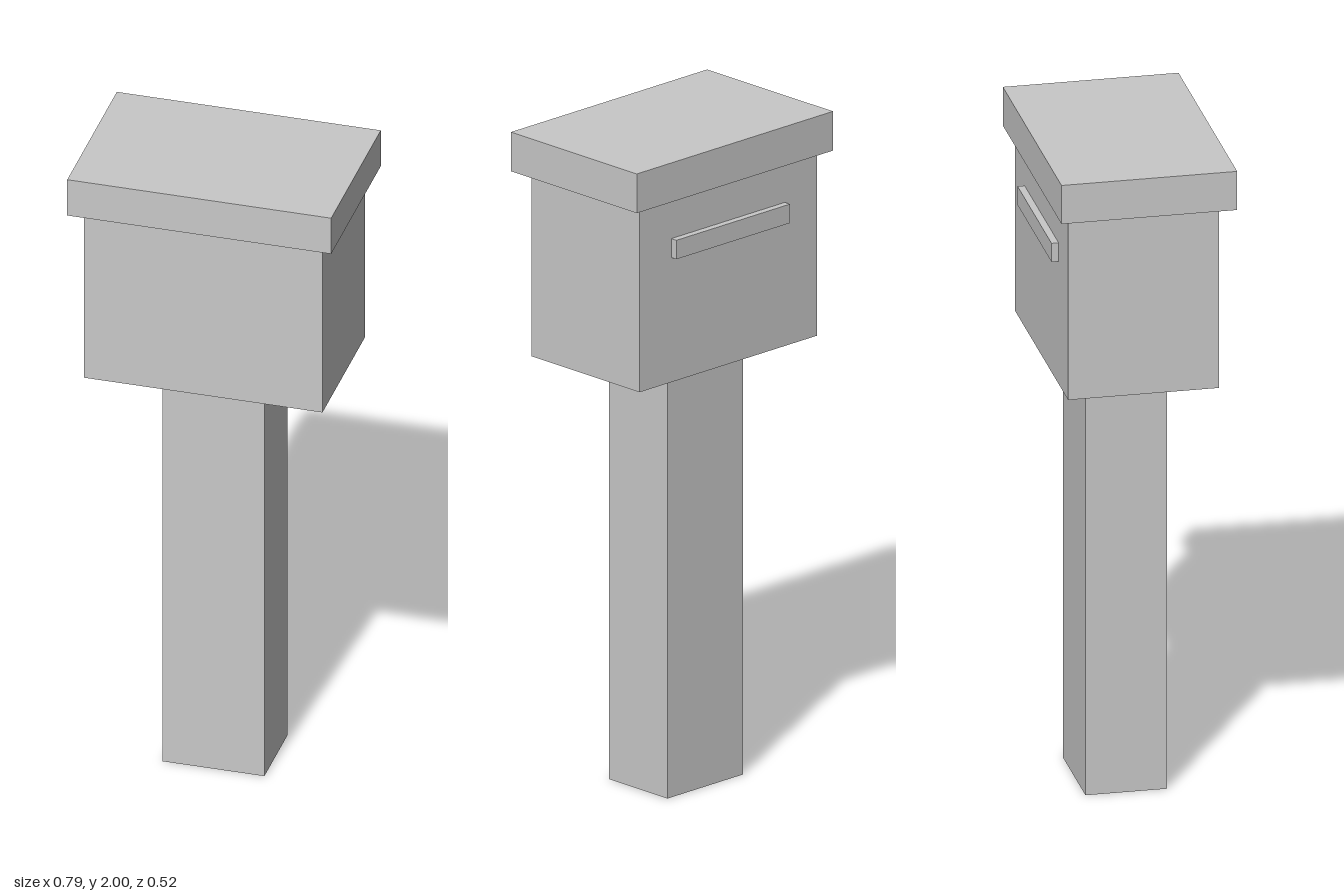
import * as THREE from 'three';

export function createModel() {
  const group = new THREE.Group();
  const grey = new THREE.MeshStandardMaterial({ color: 0xc8c8c8 });
  grey.name = 'lightGrey';

  // Box given by its lower and upper corners
  function block(name, [x0, y0, z0], [x1, y1, z1]) {
    const mesh = new THREE.Mesh(new THREE.BoxGeometry(x1 - x0, y1 - y0, z1 - z0), grey);
    mesh.position.set((x0 + x1) / 2, (y0 + y1) / 2, (z0 + z1) / 2);
    mesh.name = name;
    group.add(mesh);
  }

  block('post', [-0.154, 0, -0.136], [0.152, 1.316, 0.106]);
  block('boxBody', [-0.359, 1.316, -0.232], [0.358, 1.88, 0.215]);
  block('lid', [-0.397, 1.88, -0.26], [0.397, 2, 0.26]);
  // Raised bar on the back of the box
  block('slotBar', [-0.23, 1.697, -0.253], [0.23, 1.755, -0.232]);

  return group;
}
